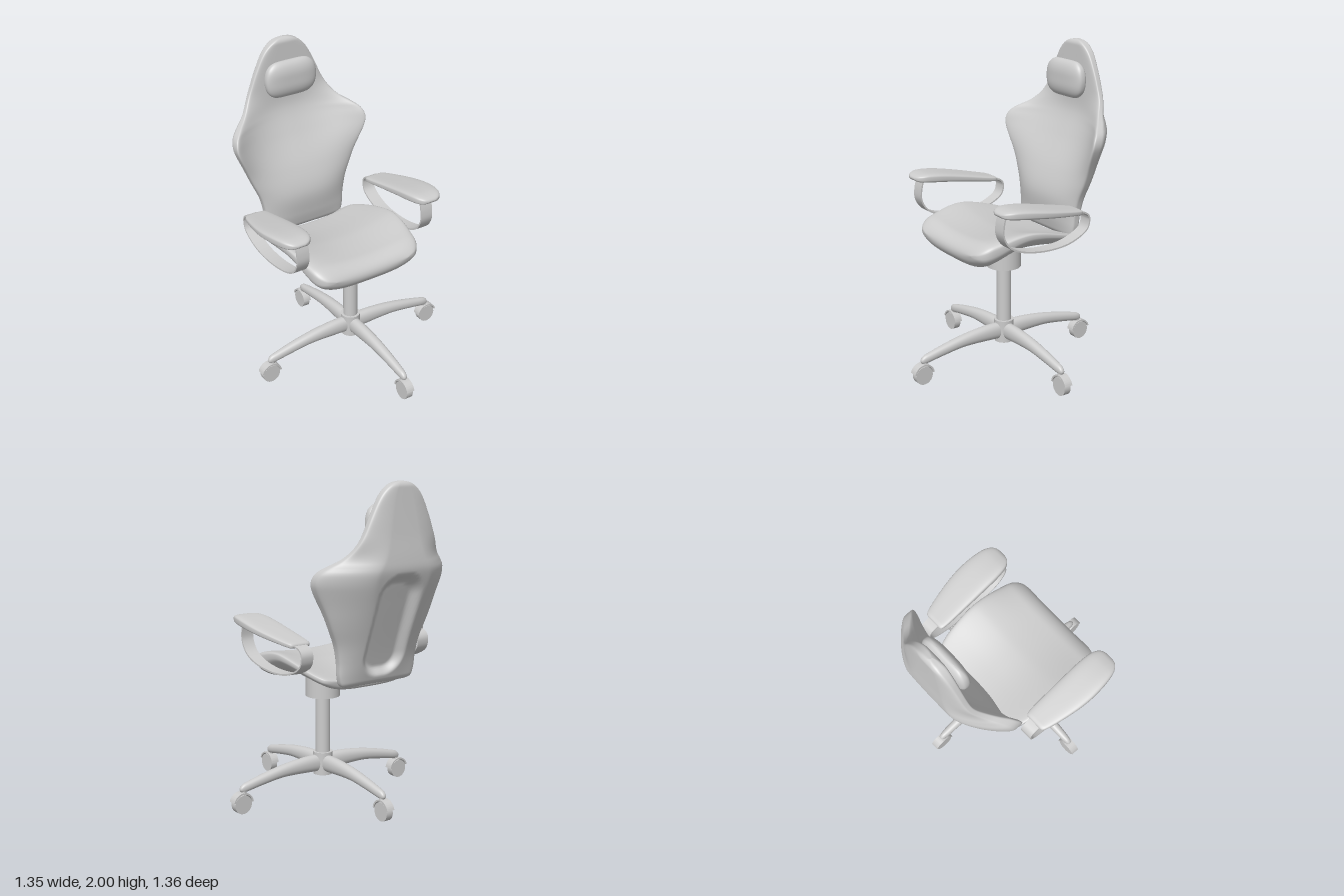
import * as THREE from 'three';
import { mergeVertices, toCreasedNormals } from 'three/addons/utils/BufferGeometryUtils.js';

const material = new THREE.MeshStandardMaterial({ color: 0xcccccc });
const MID = -0.083; // centre line of seat, back and arms

// Smooth interpolation through [position, value] pairs
function curve(...p) {
  const slope = (i) => {
    const a = p[Math.max(i - 1, 0)], b = p[Math.min(i + 1, p.length - 1)];
    return (b[1] - a[1]) / (b[0] - a[0]);
  };
  return (s) => {
    if (s <= p[0][0]) return p[0][1];
    for (let i = 0; i < p.length - 1; i++) {
      if (s > p[i + 1][0]) continue;
      const h = p[i + 1][0] - p[i][0], t = (s - p[i][0]) / h, t2 = t * t, t3 = t2 * t;
      return p[i][1] * (2 * t3 - 3 * t2 + 1) + slope(i) * h * (t3 - 2 * t2 + t)
        + p[i + 1][1] * (3 * t2 - 2 * t3) + slope(i + 1) * h * (t3 - t2);
    }
    return p[p.length - 1][1];
  };
}

// Padded slab: outline of [half width, y], faces at z = front(y, u, x) and back(y, u, x)
function slab(outline, front, back, { n = 3, r0 = 0.04, r1 = 0.04, shift = () => 0, cols = 64, rows = 40 } = {}) {
  const path = new THREE.SplineCurve(outline.map(([w, s]) => new THREE.Vector2(w, s)));
  const s0 = outline[0][1], s1 = outline[outline.length - 1][1];
  const round = (d, r) => { const q = 1 - THREE.MathUtils.clamp(d / r, 0, 1); return Math.sqrt(1 - q * q); };
  const pos = [], index = [];
  for (let i = 0; i <= rows; i++) {
    const { x: w, y: s } = path.getPointAt((1 - Math.cos(Math.PI * i / rows)) / 2);
    const k = round(s - s0, r0) * round(s1 - s, r1);
    for (let j = 0; j < cols; j++) {
      const a = j / cols * Math.PI * 2, u = Math.cos(a), x = w * u;
      const e = Math.sign(Math.sin(a)) * Math.pow(Math.max(0, 1 - Math.abs(u) ** n), 1 / n);
      const f = front(s, Math.abs(u), x), b = back(s, Math.abs(u), x);
      pos.push(x + shift(s), s, (f + b) / 2 + k * e * (f - b) / 2);
      if (i === rows) continue;
      const p = i * cols + j, q = i * cols + (j + 1) % cols;
      index.push(p, p + cols, q, q, p + cols, q + cols);
    }
  }
  const g = new THREE.BufferGeometry();
  g.setAttribute('position', new THREE.Float32BufferAttribute(pos, 3));
  g.setIndex(index);
  const merged = mergeVertices(g, 1e-5);
  merged.computeVertexNormals();
  return merged;
}

function add(parent, name, geometry, x = 0, y = 0, z = 0) {
  const mesh = new THREE.Mesh(geometry, material);
  mesh.name = name;
  mesh.position.set(x, y, z);
  parent.add(mesh);
  return mesh;
}

function backrestGeometry() {
  const outline = [[0.21, 0.79], [0.26, 0.805], [0.28, 0.86], [0.288, 0.95], [0.31, 1.05], [0.355, 1.155],
    [0.4, 1.26], [0.45, 1.37], [0.466, 1.43], [0.451, 1.485], [0.405, 1.525], [0.35, 1.562], [0.302, 1.615],
    [0.255, 1.7], [0.211, 1.8], [0.16, 1.9], [0.115, 1.955], [0.062, 1.988], [0, 2]];
  const centreFront = curve([0.79, -0.37], [0.9, -0.346], [1.05, -0.337], [1.2, -0.39], [1.4, -0.505], [1.55, -0.57], [1.7, -0.578], [2, -0.582]);
  const wingFront = curve([0.79, -0.37], [1, -0.375], [1.2, -0.382], [1.38, -0.355], [1.45, -0.362], [1.5, -0.4], [1.56, -0.49], [1.63, -0.55], [1.7, -0.572], [2, -0.582]);
  const centreBack = curve([0.79, -0.437], [1, -0.505], [1.3, -0.612], [1.44, -0.662], [1.5, -0.678], [1.56, -0.678], [1.7, -0.667], [2, -0.65]);
  const wingBack = curve([0.79, -0.437], [1, -0.455], [1.2, -0.475], [1.4, -0.475], [1.5, -0.505], [1.56, -0.56], [1.63, -0.607], [1.7, -0.628], [1.85, -0.638], [2, -0.645]);
  const wingBend = (u) => 0.12 * u * u + 0.88 * (Math.max(0, u - 0.4) / 0.6) ** 1.5;
  // rounded panel pressed into the rear
  const recess = (x, y) => {
    const r = 0.13, dx = Math.max(Math.abs(x) - 0.152 + r, 0), dy = Math.max(Math.abs(y - 1.16) - 0.31 + r, 0);
    return 0.05 * (1 - THREE.MathUtils.smoothstep(Math.hypot(dx, dy) - r, -0.05, 0.01));
  };
  return slab(outline,
    (y, u) => THREE.MathUtils.lerp(centreFront(y), wingFront(y), u ** 2.5),
    (y, u, x) => THREE.MathUtils.lerp(centreBack(y), wingBack(y), wingBend(u)) + recess(x, y),
    { n: 5, r0: 0.035, r1: 0.035, cols: 192, rows: 130 });
}

function seatGeometry() {
  const outline = [[0.26, -0.375], [0.32, -0.36], [0.362, -0.315], [0.38, -0.24], [0.395, -0.1], [0.4, 0.04],
    [0.385, 0.2], [0.36, 0.3], [0.325, 0.355], [0.25, 0.374]];
  const top = curve([-0.375, 0.885], [-0.25, 0.888], [-0.1, 0.887], [0, 0.88], [0.2, 0.842], [0.374, 0.81]);
  const under = curve([-0.375, 0.73], [-0.32, 0.725], [-0.24, 0.737], [-0.1, 0.783], [0, 0.798], [0.2, 0.782], [0.374, 0.753]);
  // side bolsters, fading out towards the front and rear edges
  const lift = curve([-0.375, 0.03], [-0.28, 0.06], [-0.1, 0.09], [0.1, 0.088], [0.374, 0.05]);
  return slab(outline, (s, u) => top(s) + lift(s) * u ** 2.2, (s, u) => under(s) + 0.75 * lift(s) * u ** 4,
    { n: 3.2, r0: 0.11, r1: 0.045, cols: 96, rows: 80 }).rotateX(-Math.PI / 2);
}

// Flat strap bent into the open loop below each arm pad
function strapGeometry() {
  const path = new THREE.SplineCurve([[-0.28, 1.135], [-0.298, 1.06], [-0.295, 0.99], [-0.245, 0.92], [-0.14, 0.875],
    [0.02, 0.853], [0.18, 0.865], [0.305, 0.92], [0.335, 0.985], [0.315, 1.03], [0.25, 1.052]]
    .map(([a, b]) => new THREE.Vector2(a, b)));
  const sides = [[], []];
  for (let i = 0; i <= 60; i++) {
    const p = path.getPoint(i / 60), t = path.getTangent(i / 60);
    sides.forEach((side, k) => {
      const d = k ? 0.005 : -0.005;
      side.push(new THREE.Vector2(p.x - t.y * d, p.y + t.x * d));
    });
  }
  const shape = new THREE.Shape([...sides[0], ...sides[1].reverse()]);
  const g = new THREE.ExtrudeGeometry(shape, { depth: 0.082, bevelEnabled: false });
  return toCreasedNormals(g.translate(0, 0, -0.041).rotateY(Math.PI / 2), 0.6);
}

function padGeometry(side) {
  const outline = [[0.025, -0.33], [0.06, -0.316], [0.088, -0.275], [0.103, -0.2], [0.108, -0.1], [0.105, 0],
    [0.096, 0.1], [0.085, 0.19], [0.076, 0.24], [0.066, 0.264], [0.045, 0.27]];
  const top = curve([-0.33, 1.155], [-0.25, 1.166], [-0.1, 1.147], [0.27, 1.066]);
  const under = curve([-0.33, 1.118], [-0.25, 1.108], [-0.1, 1.09], [0.27, 1.033]);
  const centre = curve([-0.33, 0.468], [-0.1, 0.474], [0, 0.471], [0.1, 0.463], [0.27, 0.444]);
  return slab(outline, top, under, { n: 4, r0: 0.03, r1: 0.015, shift: (s) => side * centre(s) }).rotateX(-Math.PI / 2);
}

function legGeometry() {
  const outline = [[0.038, 0.03], [0.038, 0.15], [0.034, 0.35], [0.028, 0.5], [0.024, 0.57], [0.016, 0.608], [0.005, 0.618]];
  const top = curve([0.03, 0.268], [0.15, 0.265], [0.3, 0.248], [0.45, 0.218], [0.618, 0.175]);
  const under = curve([0.03, 0.16], [0.3, 0.17], [0.45, 0.152], [0.618, 0.122]);
  return slab(outline, top, under, { n: 2.2, r0: 0.005, r1: 0.035, cols: 40 }).rotateX(-Math.PI / 2);
}

function hoodGeometry() {
  const shape = new THREE.Shape();
  shape.absarc(0, 0, 0.07, 0.25, Math.PI - 0.1, false);
  shape.absarc(0, 0, 0.06, Math.PI - 0.1, 0.25, true);
  const g = new THREE.ExtrudeGeometry(shape, { depth: 0.054, bevelEnabled: false, curveSegments: 24 });
  return toCreasedNormals(g.translate(0, 0, -0.027).rotateY(Math.PI / 2), 0.6);
}

export function createModel() {
  const chair = new THREE.Group();
  chair.name = 'officeChair';

  // upholstery
  add(chair, 'backrest', backrestGeometry(), MID - 0.002);
  add(chair, 'seat', seatGeometry(), MID + 0.005);
  const headOutline = [[0.07, 1.643], [0.122, 1.652], [0.163, 1.69], [0.178, 1.76], [0.163, 1.83], [0.122, 1.868], [0.07, 1.877]];
  add(chair, 'headrest', slab(headOutline, () => -0.48, () => -0.58, { n: 2.8, r0: 0.09, r1: 0.09 }), MID - 0.004);

  // armrests
  for (const side of [1, -1]) {
    const arm = new THREE.Group();
    arm.name = side > 0 ? 'leftArmrest' : 'rightArmrest';
    arm.position.set(MID + 0.005, 0, side * -0.007);
    add(arm, 'armPad', padGeometry(side));
    add(arm, 'armLoop', strapGeometry(), side * 0.447);
    chair.add(arm);
  }

  // column and star base
  const base = new THREE.Group();
  base.name = 'base';
  base.position.z = 0.007;
  chair.add(base);
  add(base, 'seatMount', new THREE.CylinderGeometry(0.107, 0.107, 0.15, 48), 0, 0.72);
  add(base, 'gasLift', new THREE.CylinderGeometry(0.046, 0.046, 0.4, 32), 0, 0.46);
  add(base, 'hub', new THREE.CylinderGeometry(0.062, 0.06, 0.145, 40), 0, 0.2125);

  // four legs with casters
  for (let i = 0; i < 4; i++) {
    const leg = new THREE.Group();
    leg.name = 'baseLeg' + (i + 1);
    leg.rotation.y = i * Math.PI / 2;
    add(leg, 'leg', legGeometry());
    add(leg, 'casterStem', new THREE.CylinderGeometry(0.018, 0.018, 0.05, 16), 0, 0.14, -0.592);
    add(leg, 'casterHood', hoodGeometry(), 0, 0.062, -0.607);
    add(leg, 'casterWheel', new THREE.CylinderGeometry(0.058, 0.058, 0.046, 32).rotateZ(Math.PI / 2), 0, 0.058, -0.607);
    base.add(leg);
  }
  return chair;
}
